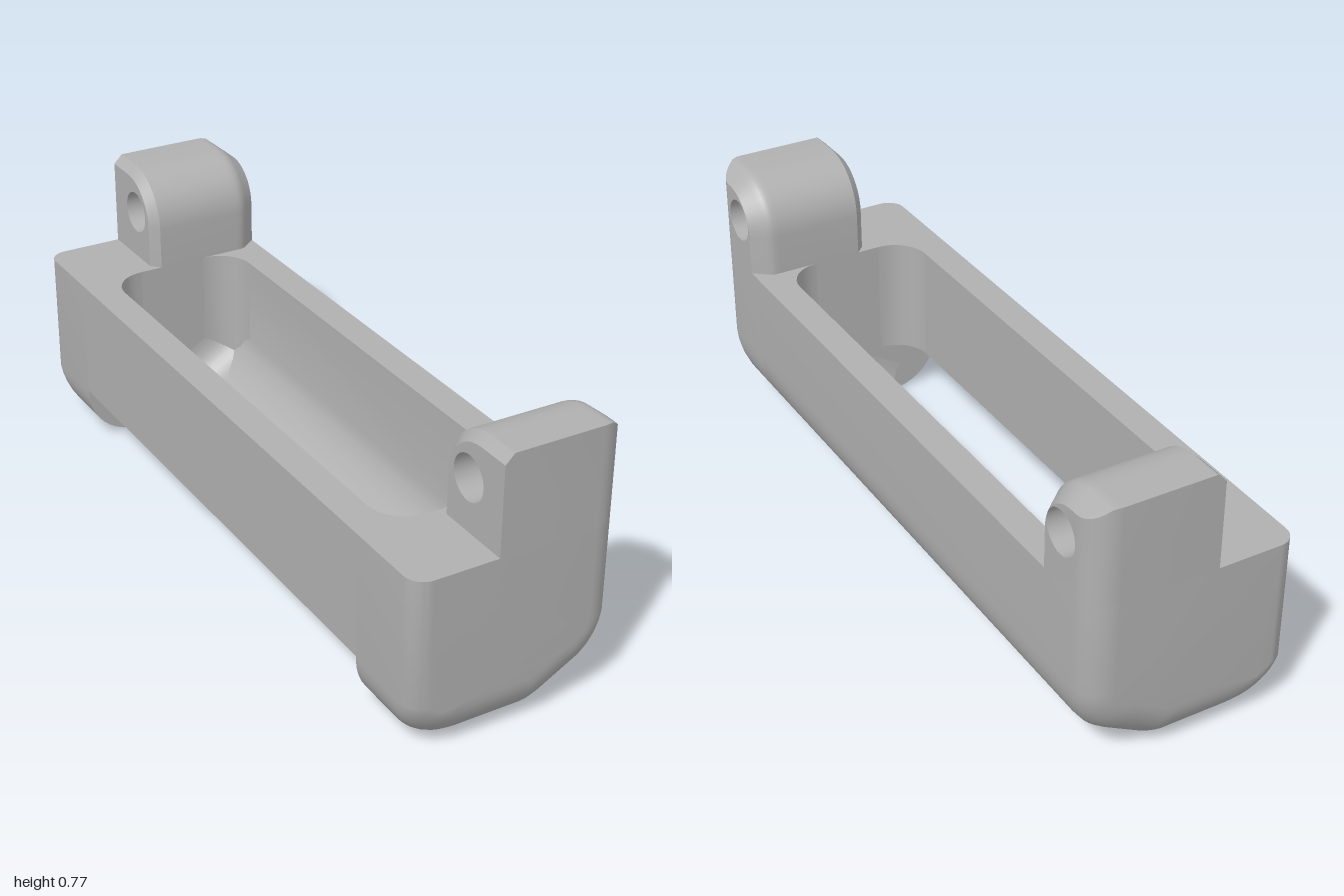
import * as THREE from 'three';
import { toCreasedNormals } from 'three/addons/utils/BufferGeometryUtils.js';

const W = 0.285, H = 0.5, END = 0.757, IN = 0.2, SLOPE = Math.PI / 6;
const SIDE_R = 0.075, BOTTOM_R = 0.13, NOTCH_Y = 0.16, LIP_X = -0.11;

// Point with coordinate a on the axis and u, v on the next two axes
function at(axis, a, [u, v]) {
  const p = [0, 0, 0];
  p[axis] = a; p[(axis + 1) % 3] = u; p[(axis + 2) % 3] = v;
  return p;
}

// Closed solid through counter-clockwise rings along an axis, with an optional through hole
function loft(rings, axis, hole) {
  const out = [], u = (axis + 1) % 3, v = (axis + 2) % 3;
  const walls = (list, flip) => {
    for (let i = 0; i + 1 < list.length; i++) {
      const n = list[i].length;
      for (let j = 0; j < n; j++) {
        const k = (j + 1) % n, a = list[i][j], b = list[i][k], c = list[i + 1][k], d = list[i + 1][j];
        if (flip) out.push(a, c, b, a, d, c); else out.push(a, b, c, a, c, d);
      }
    }
  };
  walls(rings);
  const ends = [rings[0], rings[rings.length - 1]];
  const holeRings = hole ? ends.map(r => hole.map(p => at(axis, r[0][axis], p))) : null;
  if (hole) walls(holeRings, true);
  ends.forEach((ring, e) => {
    const flat = r => r.map(p => new THREE.Vector2(p[u], p[v]));
    const all = hole ? ring.concat(holeRings[e]) : ring;
    const tris = THREE.ShapeUtils.triangulateShape(flat(ring), hole ? [flat(holeRings[e])] : []);
    for (const t of tris) {
      const q = t.map(i => all[i]);
      const ccw = THREE.ShapeUtils.area(flat(q)) > 0;
      out.push(...(ccw === (e === 1) ? q : [q[0], q[2], q[1]]));
    }
  });
  const g = new THREE.BufferGeometry();
  g.setAttribute('position', new THREE.Float32BufferAttribute(out.flat(), 3));
  return g;
}

function prism(points, axis, from, to) {
  const ccw = THREE.ShapeUtils.area(points.map(p => new THREE.Vector2(...p))) > 0;
  const pts = ccw ? points : [...points].reverse();
  return loft([from, to].map(a => pts.map(p => at(axis, a, p))), axis);
}

// Concave corner filler
function fillet(u, v, su, sv, r) {
  const pts = [[u, v]];
  for (let i = 0; i <= 8; i++) {
    const t = i / 8 * Math.PI / 2;
    pts.push([u + su * r * (1 - Math.cos(t)), v + sv * r * (1 - Math.sin(t))]);
  }
  return pts;
}

// Mirror in z, restoring the corner order
function mirrorZ(g) {
  const m = g.clone(), p = m.attributes.position;
  for (let i = 0; i < p.count; i += 3) {
    const q = [0, 2, 1].map(k => [g.attributes.position.getX(i + k), g.attributes.position.getY(i + k), g.attributes.position.getZ(i + k)]);
    q.forEach((c, k) => p.setXYZ(i + k, c[0], c[1], -c[2]));
  }
  return m;
}

// Outside profile: rounded on one side, sloping on the other
function outerProfile() {
  const pts = [[-W, H]];
  for (let i = 0; i <= 10; i++) {
    const t = i / 10 * Math.PI / 2;
    pts.push([-0.135 - 0.15 * Math.cos(t), 0.15 - 0.15 * Math.sin(t)]);
  }
  pts.push([LIP_X, 0], [0.05, 0], [0.08, 0.007], [0.11, 0.021], [0.2, 0.072], [0.235, 0.1],
    [0.26, 0.135], [0.275, 0.17], [0.283, 0.205], [W, 0.24], [W, H]);
  return pts;
}

// End block whose outer edges roll over into the end face
function endBlock(profile) {
  const info = profile.map((p, i) => {
    const a = profile[Math.max(0, i - 1)], b = profile[Math.min(profile.length - 1, i + 1)];
    const len = Math.hypot(b[0] - a[0], b[1] - a[1]);
    const nx = (b[1] - a[1]) / len, ny = -(b[0] - a[0]) / len;
    return { p, nx, ny, r: THREE.MathUtils.lerp(nx < 0 ? 0.05 : SIDE_R, BOTTOM_R, Math.max(0, -ny)) };
  });
  const rings = [profile.map(p => [...p, END])];
  for (let i = 0; i <= 10; i++) {
    const t = i / 10 * Math.PI / 2;
    rings.push(info.map(({ p, nx, ny, r }) => {
      const d = r * (1 - Math.cos(t));
      return [p[0] - nx * d, p[1] - ny * d, 1 - r + r * Math.sin(t)];
    }));
  }
  return loft(rings, 2);
}

// Upright lug with a rounded inner shoulder, chamfered sides and a cross hole
function lug() {
  const xs = [[-0.06, 0.025, 0], [-0.035, 0, 0]];
  for (let i = 0; i <= 8; i++) {
    const t = i / 8 * Math.PI / 2, x = W - SIDE_R + SIDE_R * Math.sin(t);
    xs.push([x, Math.max(0, (x - 0.235) * 0.8), SIDE_R * (1 - Math.cos(t))]);
  }
  const rings = xs.map(([x, inset, outer]) => {
    const pts = [[0.49, END + inset]];
    for (let i = 0; i <= 10; i++) {
      const a = i / 10 * Math.PI / 2, r = 0.15 - inset;
      pts.push([0.617 + r * Math.sin(a), 0.907 - r * Math.cos(a)]);
    }
    pts.push([0.767 - inset, 1 - outer], [0.49, 1 - outer]);
    return pts.map(p => at(0, x, p));
  });
  const hole = [];
  for (let i = 0; i < 28; i++) {
    const t = i / 28 * Math.PI * 2;
    hole.push([0.64 + 0.06 * Math.cos(t), 0.863 + 0.06 * Math.sin(t)]);
  }
  return loft(rings, 0, hole);
}

export function createModel() {
  const model = new THREE.Group();
  model.name = 'housing';
  const grey = new THREE.MeshStandardMaterial({ color: 0xb0b0b0 });
  grey.name = 'grey';
  const add = (name, g) => {
    const mesh = new THREE.Mesh(toCreasedNormals(g, 0.6), grey);
    mesh.name = name;
    model.add(mesh);
  };
  const addPair = (name, g) => {
    add('front' + name, g);
    add('back' + name, mirrorZ(g));
  };

  const profile = outerProfile();

  // Long wall joined to the sloping floor
  const lip = profile.findIndex(p => p[0] === LIP_X);
  const floorSection = [...profile.slice(lip), [IN, H], [IN, 0.25], [0.19, 0.21], [0.165, 0.172], [0.13, 0.1386]];
  add('wallAndSlopingFloor', prism(floorSection, 2, -END, END));

  // Opposite wall, open below as an outlet
  add('outletWall', prism([[-W, NOTCH_Y], [-IN, NOTCH_Y], [-IN, H], [-W, H]], 2, -END, END));

  addPair('EndBlock', endBlock(profile));
  addPair('Lug', lug());

  // Rounded cavity corners
  addPair('OutletCorner', prism(fillet(END, -IN, -1, 1, 0.1), 1, NOTCH_Y, H));
  addPair('WallCorner', prism(fillet(END, IN, -1, -1, 0.1), 1, 0.1, H));

  // Rounding between the sloping floor and the end walls
  addPair('FloorFillet', prism(fillet(0, END, 1, -1, 0.1), 0, 0, 0.36).rotateZ(SLOPE).translate(LIP_X, 0, 0));

  return model;
}
